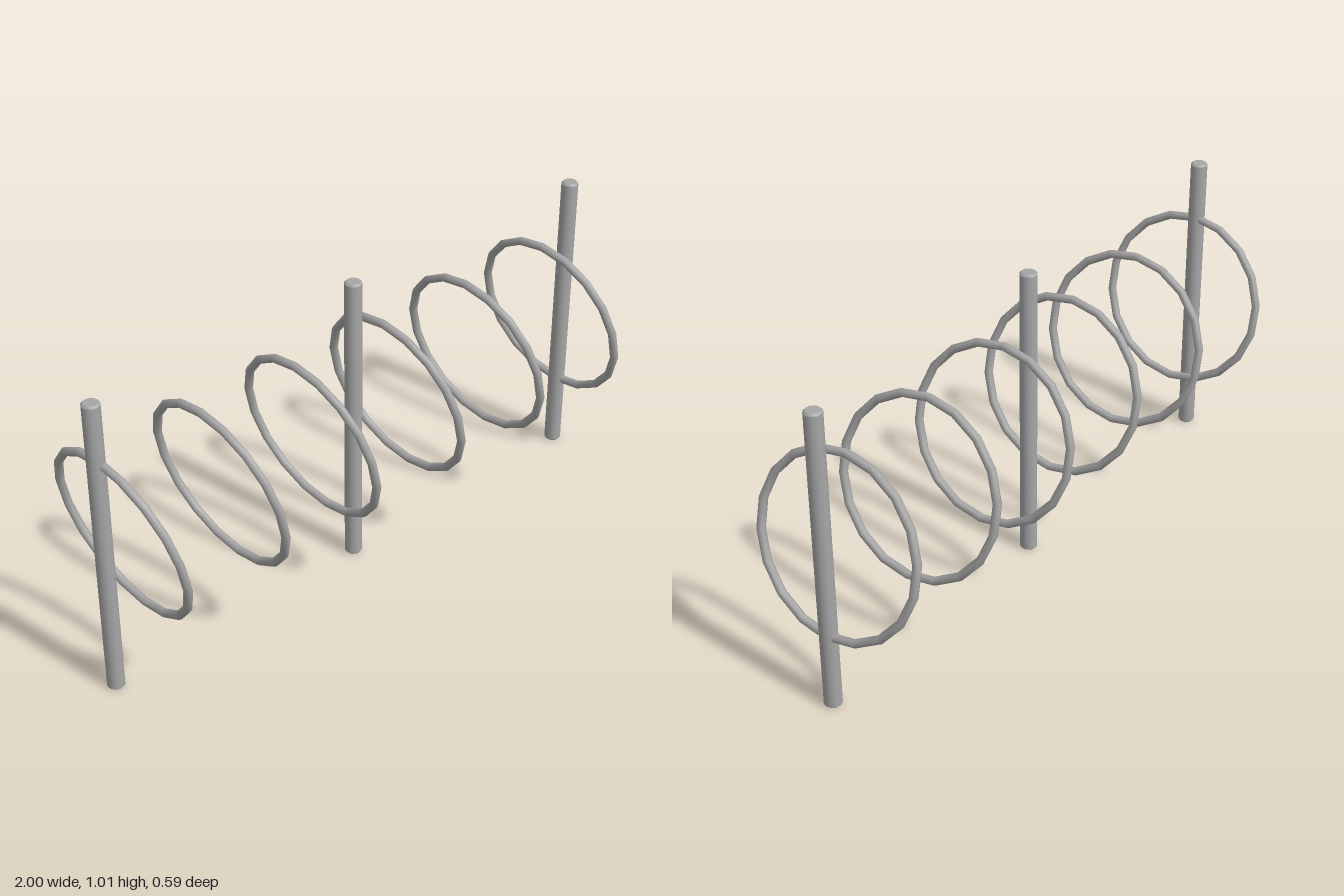
import * as THREE from 'three';
import { toCreasedNormals } from 'three/addons/utils/BufferGeometryUtils.js';

const HEIGHT = 1.015;
const POST_RADIUS = 0.028;
const BEVEL = 0.006;

// Round post with a small bevel at both ends
function postGeometry() {
  const r = POST_RADIUS;
  const profile = [
    [0, 0], [r - BEVEL, 0], [r, BEVEL],
    [r, HEIGHT - BEVEL], [r - BEVEL, HEIGHT], [0, HEIGHT],
  ].map(([x, y]) => new THREE.Vector2(x, y));
  return toCreasedNormals(new THREE.LatheGeometry(profile, 16), Math.PI / 6);
}

// Eighteen-sided ring facing along x, leaning back at the top
function ringGeometry() {
  return new THREE.TorusGeometry(0.288, 0.0138, 8, 18)
    .rotateZ(Math.PI / 2)
    .rotateY(Math.PI / 2)
    .rotateZ(THREE.MathUtils.degToRad(12.2));
}

export function createModel() {
  const group = new THREE.Group();
  const grey = new THREE.MeshStandardMaterial({ color: 0xa6a6a6 });
  grey.name = 'grey metal';

  // Three upright posts
  const post = postGeometry();
  ['rightPost', 'middlePost', 'leftPost'].forEach((name, i) => {
    const mesh = new THREE.Mesh(post, grey);
    mesh.name = name;
    mesh.position.x = (i - 1) * (1 - POST_RADIUS);
    group.add(mesh);
  });

  // Row of six tilted rings
  const ring = ringGeometry();
  for (let i = 0; i < 6; i++) {
    const mesh = new THREE.Mesh(ring, grey);
    mesh.name = `ring${i + 1}`;
    mesh.position.set(-0.904 + i * 0.3635, 0.533, 0);
    group.add(mesh);
  }

  return group;
}
